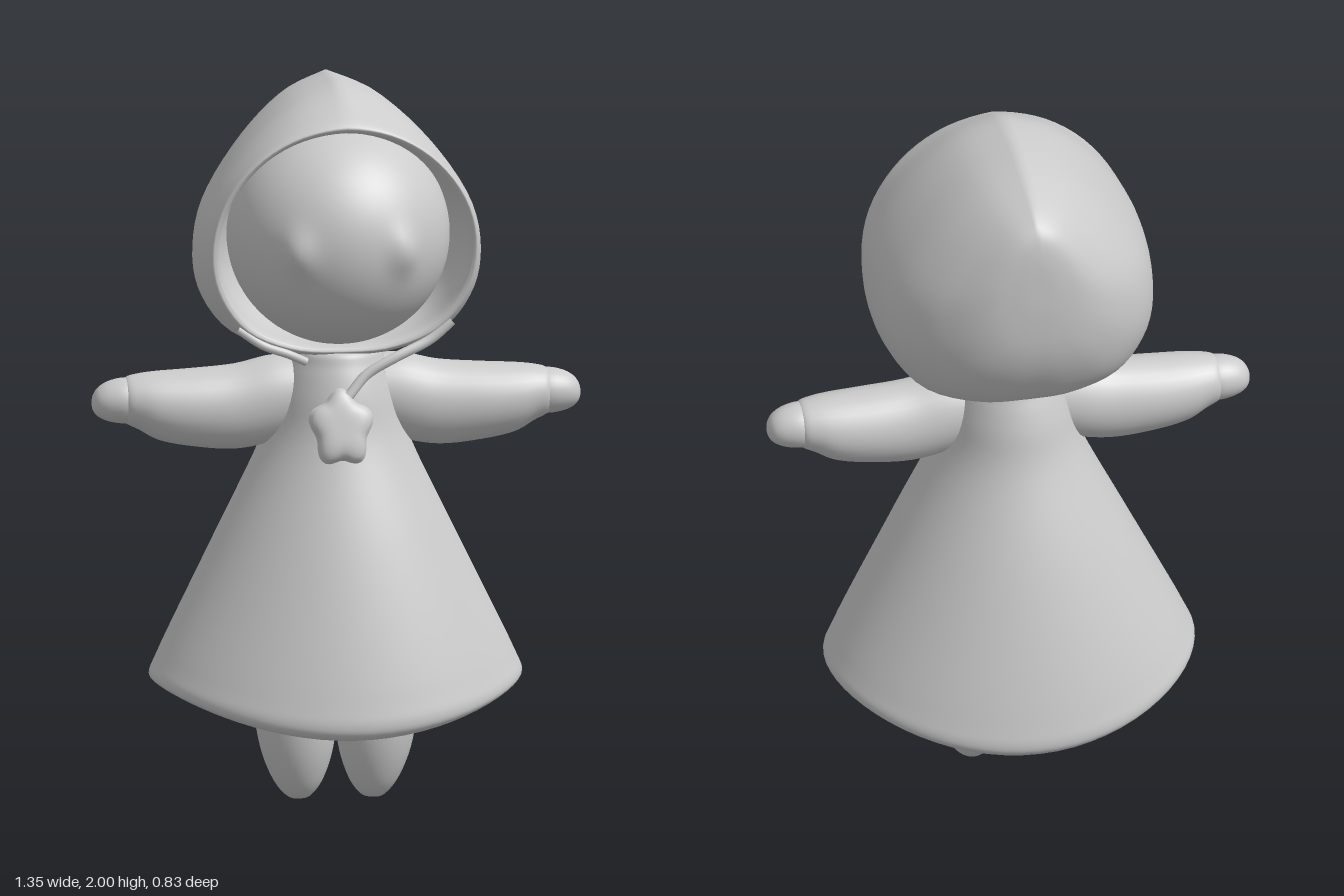
import * as THREE from 'three';
import { mergeVertices } from 'three/addons/utils/BufferGeometryUtils.js';

const material = new THREE.MeshStandardMaterial({ color: 0xcccccc });

function mesh(name, geometry, parent) {
  const m = new THREE.Mesh(geometry, material);
  m.name = name;
  parent.add(m);
  return m;
}

// Surface from a function of (u, v); the face normal is du x dv
function surface(nu, nv, f) {
  const pos = [], index = [];
  for (let i = 0; i <= nu; i++)
    for (let j = 0; j <= nv; j++) pos.push(...f(i / nu, j / nv));
  for (let i = 0; i < nu; i++)
    for (let j = 0; j < nv; j++) {
      const a = i * (nv + 1) + j, b = a + nv + 1;
      index.push(a, b, b + 1, a, b + 1, a + 1);
    }
  let g = new THREE.BufferGeometry();
  g.setAttribute('position', new THREE.Float32BufferAttribute(pos, 3));
  g.setIndex(index);
  g = mergeVertices(g, 1e-4);
  g.computeVertexNormals();
  return g;
}

// Smooth interpolation through rows of numbers, t in 0..1
function sample(rows, t) {
  const f = t * (rows.length - 1);
  const i = Math.min(Math.floor(f), rows.length - 2), s = f - i;
  const row = k => rows[Math.max(0, Math.min(rows.length - 1, k))];
  return row(i).map((b, k) => {
    const a = row(i - 1)[k], c = row(i + 1)[k], d = row(i + 2)[k];
    return b + 0.5 * s * (c - a + s * (2 * a - 5 * b + 4 * c - d + s * (3 * (b - c) + d - a)));
  });
}

// Flared dress with a domed hollow underneath and a thick hem that dips at front and back
function dressGeometry() {
  const profile = [
    [0, 0.64], [0.14, 0.63], [0.26, 0.57], [0.35, 0.48], [0.41, 0.4], [0.44, 0.355],
    [0.475, 0.333], [0.505, 0.342], [0.511, 0.362], [0.495, 0.4], [0.455, 0.485], [0.325, 0.75],
    [0.205, 1.0], [0.165, 1.14], [0.137, 1.22], [0.11, 1.265], [0, 1.27],
  ];
  return surface(80, 64, (u, v) => {
    const [r, y] = sample(profile, u), a = -v * Math.PI * 2;
    const t = (y - 0.34) / 0.8, depth = 0.81 + 0.14 * t + 0.2 * t * t;
    const drop = Math.max(0, (1 - y) / 0.66) ** 3 * 0.1 * Math.cos(a) ** 2;
    return [Math.max(0, r) * Math.sin(a), y - drop, Math.max(0, r) * depth * Math.cos(a)];
  });
}

// Hood lofted from the inside, over the rim and back to the pointed crown
function hoodGeometry() {
  const half = [
    [0, 1], [0.33, 0.925], [0.65, 0.77], [0.92, 0.56], [1, 0.38],
    [0.95, 0.22], [0.74, 0.08], [0.36, 0.01], [0, 0],
  ];
  // z, top, bottom, half width, roundness of the top, forward lean
  const rows = [
    [-0.1, 1.78, 1.38, 0.24, 0.9, 0.1],
    [0.06, 1.86, 1.3, 0.325, 0.9, 0.14],
    [0.175, 1.885, 1.28, 0.345, 0.9, 0.15],
    [0.197, 1.895, 1.268, 0.358, 0.9, 0.15],
    [0.192, 1.91, 1.258, 0.37, 0.8, 0.15],
    [0.15, 1.94, 1.25, 0.381, 0.5, 0.13],
    [0.06, 1.99, 1.245, 0.39, 0.15, 0.06],
    [-0.06, 2.0, 1.24, 0.386, 0, 0],
    [-0.18, 1.99, 1.25, 0.36, 0, 0],
    [-0.28, 1.965, 1.31, 0.3, 0, 0],
    [-0.35, 1.935, 1.405, 0.22, 0, 0],
    [-0.39, 1.895, 1.51, 0.14, 0.2, 0],
    [-0.405, 1.83, 1.64, 0.06, 0.5, 0],
    [-0.407, 1.74, 1.74, 0, 1, 0],
  ];
  return surface(78, 72, (u, v) => {
    const [z, top, bottom, width, round, lean] = sample(rows, u);
    const s = v < 0.5 ? v * 2 : 2 - v * 2, side = v < 0.5 ? -1 : 1;
    const p = sample(half, s), blend = round * (1 - s * s);
    const px = THREE.MathUtils.lerp(p[0], Math.sin(s * Math.PI), blend);
    const py = THREE.MathUtils.lerp(p[1], 0.5 + 0.5 * Math.cos(s * Math.PI), blend);
    const y = bottom + (top - bottom) * py;
    return [side * width * px, y, z + lean * (y - 1.6)];
  });
}

// Round head with two soft bumps for the eyes
function headGeometry() {
  const radius = 0.305, p = new THREE.Vector3();
  const eyes = [-1, 1].map(side => new THREE.Vector3(side * 0.145, -0.01, 0.266));
  return surface(64, 96, (u, v) => {
    p.setFromSphericalCoords(radius, Math.PI * (1 - u), -v * Math.PI * 2);
    const bump = eyes.reduce((sum, e) => {
      const d = ((p.x - e.x) / 0.04) ** 2 + ((p.y - e.y) / 0.06) ** 2 + ((p.z - e.z) / 0.06) ** 2;
      return sum + 0.022 * Math.exp(-d);
    }, 0);
    p.setLength(radius + bump);
    return [p.x, p.y, p.z];
  });
}

// Tube along x from rows of x, centre y, radius y, radius z
function limbGeometry(rows, steps) {
  return surface(steps, 32, (u, v) => {
    const [x, cy, ry, rz] = sample(rows, u), a = v * Math.PI * 2;
    return [x, cy + ry * Math.cos(a), -rz * Math.sin(a)];
  });
}

// Shallow cushion with five soft lobes
function flowerGeometry() {
  return surface(14, 60, (u, v) => {
    const a = v * Math.PI * 2, r = u * (0.092 + 0.011 * u * Math.sin(5 * a));
    const z = 0.034 * Math.sqrt(1 - u ** 4) - 0.006;
    return [r * 0.9 * Math.cos(a), r * 1.1 * Math.sin(a), z];
  });
}

function cord(name, points, radius, parent) {
  const curve = new THREE.CatmullRomCurve3(points.map(p => new THREE.Vector3(...p)));
  mesh(name, new THREE.TubeGeometry(curve, 32, radius, 10), parent);
}

export function createModel() {
  const model = new THREE.Group();
  model.name = 'hoodedDoll';

  mesh('dress', dressGeometry(), model);
  mesh('hood', hoodGeometry(), model);
  mesh('head', headGeometry(), model).position.set(0, 1.58, 0.052);

  const sleeve = [
    [0.06, 1.14, 0.09, 0.09], [0.17, 1.12, 0.118, 0.1], [0.28, 1.098, 0.117, 0.1],
    [0.4, 1.098, 0.107, 0.1], [0.49, 1.105, 0.095, 0.093], [0.545, 1.117, 0.077, 0.08],
    [0.58, 1.121, 0.063, 0.066], [0.59, 1.12, 0.04, 0.04],
  ];
  const hand = [
    [0.52, 1.12, 0.055, 0.055], [0.58, 1.121, 0.063, 0.065], [0.625, 1.12, 0.056, 0.057],
    [0.655, 1.118, 0.041, 0.042], [0.67, 1.116, 0.021, 0.021], [0.674, 1.116, 0, 0],
  ];
  // Leg profile from the rounded foot up into the dress
  const leg = [
    [0, 0.005], [0.03, 0.01], [0.064, 0.05], [0.093, 0.12], [0.109, 0.2],
    [0.115, 0.3], [0.11, 0.45], [0.1, 0.7],
  ].map(p => new THREE.Vector2(...p));
  const legCurve = new THREE.SplineCurve(leg).getPoints(36).map(p => p.setX(Math.max(0, p.x)));

  for (const [side, label] of [[1, 'left'], [-1, 'right']]) {
    const arm = new THREE.Group();
    arm.name = label + 'Arm';
    arm.position.z = 0.012;
    arm.rotation.y = side > 0 ? 0 : Math.PI;
    mesh(label + 'Sleeve', limbGeometry(sleeve, 35), arm);
    mesh(label + 'Hand', limbGeometry(hand, 25), arm);
    model.add(arm);

    // The legs lean slightly so that the feet come together
    const legMesh = mesh(label + 'Leg', new THREE.LatheGeometry(legCurve, 32), model);
    legMesh.position.set(side * 0.1, 0, 0.005);
    legMesh.rotation.z = -side * 0.045;
  }

  // Hood ties
  cord('leftTie', [[0.3, 1.345, 0.15], [0.24, 1.295, 0.153], [0.14, 1.25, 0.172], [0.06, 1.205, 0.178], [0.01, 1.15, 0.192]], 0.014, model);
  cord('rightTie', [[-0.29, 1.335, 0.148], [-0.22, 1.288, 0.148], [-0.15, 1.262, 0.148], [-0.1, 1.238, 0.135]], 0.012, model);

  // Flower ornament lying on the chest
  const flower = mesh('flower', flowerGeometry(), model);
  flower.position.set(-0.012, 1.065, 0.208);
  flower.rotation.x = -0.26;

  return model;
}
